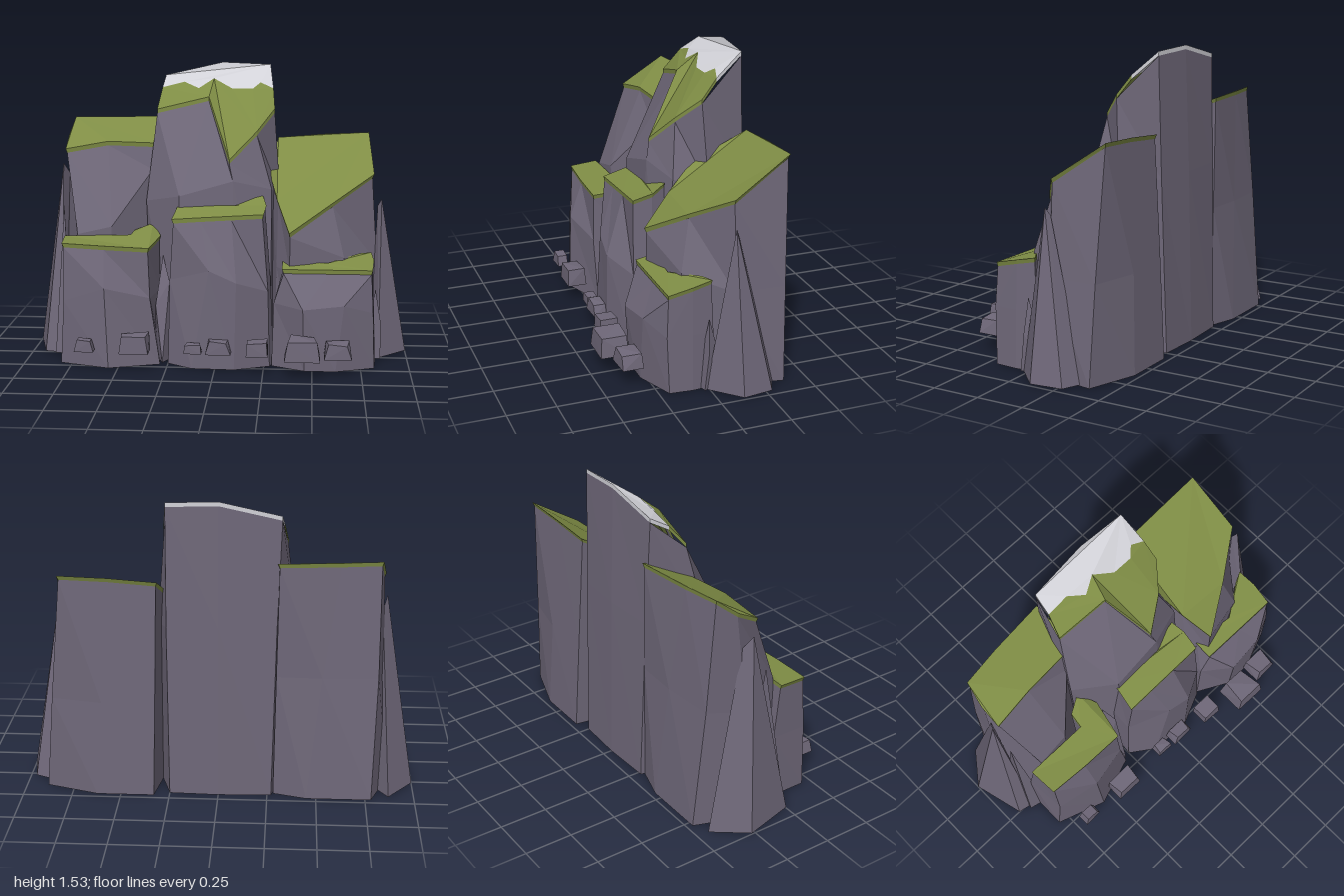
import * as THREE from 'three';
import { ConvexGeometry } from 'three/addons/geometries/ConvexGeometry.js';

const paint = (name, color) => Object.assign(new THREE.MeshStandardMaterial({ color }), { name });

// Flat shaded geometry from a flat list of triangle corners
function faceted(corners) {
  const g = new THREE.BufferGeometry();
  g.setAttribute('position', new THREE.Float32BufferAttribute(corners.flat(), 3));
  g.computeVertexNormals();
  return g;
}

// Fills an outline seen from above; up = true faces the sky
function fill(ring, up) {
  const flat = ring.map(([x, , z]) => new THREE.Vector2(x, z));
  return THREE.ShapeUtils.triangulateShape(flat, []).flatMap(([i, j, k]) => {
    const [a, b, c] = [ring[i], ring[j], ring[k]];
    const ny = (b[2] - a[2]) * (c[0] - a[0]) - (b[0] - a[0]) * (c[2] - a[2]);
    return (ny > 0) === up ? [a, b, c] : [a, c, b];
  });
}

// Walls between two rings that run clockwise seen from above
function wall(low, high) {
  return low.flatMap((p, i) => {
    const j = (i + 1) % low.length;
    return [p, high[j], low[j], p, high[i], high[j]];
  });
}

const LIP = 0.022;
const lower = (ring, d) => ring.map(([x, y, z]) => [x, y - d, z]);
const middle = (ring, axis) => ring.reduce((s, p) => s + p[axis], 0) / ring.length;

// Rock column: base, waist and top outlines joined by facets, hollowed a little underneath
function column(base, waist, top) {
  const foot = base.map(([x, z]) => [x, 0.005, z]);
  const hollow = [middle(foot, 0), 0.04, middle(foot, 2)];
  const under = foot.flatMap((p, i) => [p, foot[(i + 1) % foot.length], hollow]);
  return faceted([...under, ...wall(foot, waist), ...wall(waist, lower(top, LIP))]);
}

// Thin cover whose lip slants in to the rim below
function cover(top) {
  const cx = middle(top, 0), cz = middle(top, 2);
  const out = top.map(([x, y, z]) => [cx + (x - cx) * 1.03, y, cz + (z - cz) * 1.03]);
  const under = lower(top, LIP);
  return faceted([...fill(out, true), ...wall(under, out), ...fill(under, false)]);
}

// Cover without an overhang, for pieces that meet each other
const patch = top => {
  const under = lower(top, LIP);
  return faceted([...fill(top, true), ...wall(under, top), ...fill(under, false)]);
};

const hull = pts => new ConvexGeometry(pts.map(p => new THREE.Vector3(...p)));

export function createModel() {
  const model = new THREE.Group();
  model.name = 'rockyCliff';
  const rock = paint('rock', 0x6e6778);
  const grass = paint('grass', 0x7f8d45);
  const snow = paint('snow', 0xd2d2d8);
  const add = (name, geometry, material) => {
    const m = new THREE.Mesh(geometry, material);
    m.name = name;
    model.add(m);
  };

  // Grass-topped columns
  const columns = {
    backRight: {
      base: [[-.78, -.47], [-.45, -.47], [-.28, -.42], [-.28, -.2], [-.38, -.11], [-.57, .03], [-.8, .03], [-.88, -.2]],
      waist: [[-.8, .65, -.41], [-.52, .65, -.43], [-.29, .65, -.42], [-.29, .9, -.2], [-.36, .98, -.15],
        [-.56, .7, .03], [-.74, .66, .04], [-.84, .6, -.2]],
      top: [[-.8, 1.24, -.36], [-.6, 1.24, -.39], [-.3, 1.24, -.42], [-.29, 1.16, -.22], [-.34, 1.12, -.18],
        [-.6, 1.13, -.16], [-.82, 1.09, -.14], [-.82, 1.15, -.25]],
    },
    backLeft: {
      base: [[.33, -.47], [.62, -.47], [.89, -.38], [.85, -.15], [.8, .1], [.4, .15], [.3, .05], [.27, -.1]],
      waist: [[.32, .5, -.44], [.59, .5, -.445], [.85, .5, -.39], [.84, .5, -.13], [.66, .56, .08],
        [.38, .5, .16], [.31, .5, .05], [.27, .5, -.1]],
      top: [[.31, 1.13, -.4], [.55, 1.15, -.405], [.79, 1.16, -.41], [.81, .97, -.13], [.6, .84, .02],
        [.38, .7, .16], [.315, .85, .01], [.27, .98, -.13]],
    },
    frontRight: {
      base: [[-.81, 0], [-.46, 0], [-.42, -.05], [-.36, -.1], [-.31, 0], [-.29, .2], [-.55, .29], [-.81, .2]],
      waist: [[-.81, .36, 0], [-.46, .36, 0], [-.42, .36, -.05], [-.36, .36, -.1], [-.31, .36, 0],
        [-.34, .36, .21], [-.57, .42, .27], [-.79, .34, .21]],
      top: [[-.8, .65, .04], [-.46, .66, .04], [-.45, .67, -.04], [-.36, .7, -.09], [-.31, .65, 0],
        [-.35, .62, .2], [-.58, .63, .2], [-.79, .64, .19]],
    },
    frontMiddle: {
      base: [[-.23, 0], [0, 0], [.27, 0], [.3, .12], [.28, .2], [.1, .28], [-.12, .27], [-.25, .18]],
      waist: [[-.23, .45, 0], [0, .45, 0], [.25, .45, 0], [.28, .45, .1], [.27, .4, .19],
        [.11, .46, .28], [-.03, .52, .27], [-.24, .45, .17]],
      top: [[-.2, .82, .04], [.02, .82, .05], [.23, .87, .01], [.25, .83, .08], [.24, .8, .18],
        [.08, .79, .18], [-.08, .78, .18], [-.22, .77, .18]],
    },
    frontLeft: {
      base: [[.31, .02], [.6, .02], [.82, -.03], [.83, .08], [.82, .2], [.62, .28], [.46, .28], [.29, .19]],
      waist: [[.31, .3, .02], [.6, .3, .02], [.81, .3, -.03], [.82, .3, .08], [.81, .3, .21],
        [.66, .35, .28], [.45, .33, .3], [.3, .34, .19]],
      top: [[.35, .54, .1], [.58, .54, .12], [.74, .57, .01], [.8, .57, -.02], [.81, .55, .08],
        [.8, .52, .2], [.58, .52, .2], [.35, .52, .2]],
    },
  };
  for (const [name, { base, waist, top }] of Object.entries(columns)) {
    add(name + 'Column', column(base, waist, top), rock);
    add(name + 'Grass', cover(top), grass);
  }

  // Tall central peak, with a jagged line between snow and grass
  const ridge = [[-.31, 1.47, -.39], [0, 1.54, -.4], [.26, 1.53, -.39]];
  const front = [[.29, 1.31, -.17], [.2, 1.2, -.06], [.06, 1.06, .03], [-.06, 1.37, -.17], [-.34, 1.3, -.2]];
  const snowLine = [[-.32, 1.41, -.29], [-.2, 1.44, -.29], [-.12, 1.41, -.24], [-.04, 1.46, -.28], [.06, 1.41, -.23],
    [.17, 1.41, -.23], [.21, 1.44, -.27], [.28, 1.41, -.25]];
  add('peak', column(
    [[-.27, -.44], [0, -.45], [.25, -.44], [.32, -.2], [.28, .06], [.1, .1], [-.2, .1], [-.36, -.12]],
    [[-.29, .9, -.41], [0, .9, -.425], [.26, .9, -.41], [.32, .85, -.2], [.28, .9, -.02],
      [.08, .95, .05], [-.2, .87, .06], [-.39, .82, -.1]],
    [...ridge, ...front]), rock);
  add('peakGrassLeft', patch([...snowLine.slice(3), ...front.slice(0, 4)]), grass);
  add('peakGrassRight', patch([...snowLine.slice(0, 4), ...front.slice(3)]), grass);
  add('peakSnow', patch([...ridge, ...[...snowLine].reverse()]), snow);

  // Sharp slabs leaning on the sides and filling the gaps
  const slabs = {
    rightSpire: [[-.845, 1.01, -.17], [-.82, .95, -.22], [-1, .01, -.27], [-.87, .01, -.44], [-.78, .01, -.3],
      [-.84, .01, .02], [-.93, .01, 0]],
    leftSpire: [[.86, .84, -.12], [.84, .8, -.14], [1, .015, -.12], [.97, .01, -.28], [.86, .01, -.33],
      [.8, .01, -.1], [.85, .01, .02]],
    rightSliver: [[-.83, .8, -.08], [-.87, .01, .03], [-.78, .01, .05], [-.82, .01, -.2]],
    gapSlab: [[-.29, .55, .02], [-.25, .42, .08], [-.34, .01, 0], [-.2, .01, 0], [-.28, .01, .19], [-.32, .3, .12]],
    leftSliver: [[.83, .38, 0], [.86, .2, .01], [.86, .01, .03], [.78, .01, .05], [.82, .01, -.1]],
  };
  for (const [name, pts] of Object.entries(slabs)) add(name, hull(pts), rock);

  // Small boulders along the foot: x, z, width, depth, height
  const boulders = [[-.67, .305, .1, .06, .06], [-.41, .31, .15, .1, .09], [-.11, .305, .09, .06, .045],
    [.02, .31, .13, .07, .065], [.22, .325, .11, .1, .07], [.45, .38, .18, .15, .1], [.63, .345, .14, .11, .075]];
  boulders.forEach(([x, z, w, d, h], i) => {
    const pts = [];
    for (const sx of [-.5, .5]) for (const sz of [-.5, .5]) {
      const skew = 0.08 * Math.sin(i * 2.3 + sx * 3 + sz * 5);
      pts.push([x + sx * w, .1, z + sz * d * (1 + skew)]);
      pts.push([x + (sx * .8 + skew) * w, .1 + h * (1 + skew), z + sz * .9 * d]);
    }
    add('boulder' + (i + 1), hull(pts), rock);
  });
  return model;
}
